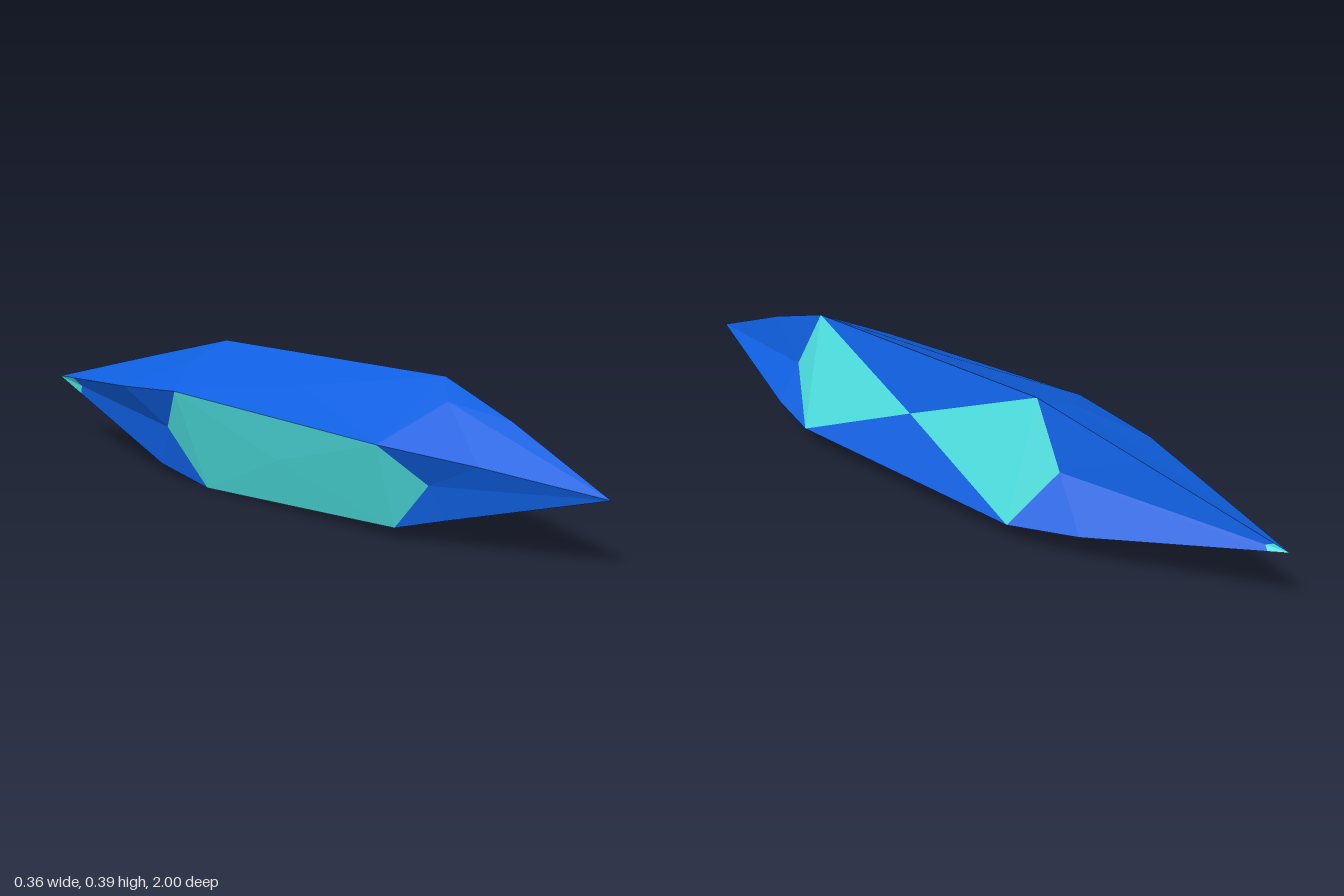
import * as THREE from 'three';

const V = (x, y, z) => new THREE.Vector3(x, y, z);
const mix = (a, b, t) => a.clone().lerp(b, t);
const CENTRE = V(0, 0.2, 0);

// Collects triangles, turning each one so that it faces outward
class Facets {
  constructor() { this.points = []; }
  add(a, b, c) {
    const normal = b.clone().sub(a).cross(c.clone().sub(a));
    const out = a.clone().add(b).add(c).divideScalar(3).sub(CENTRE);
    const order = normal.dot(out) < 0 ? [a, c, b] : [a, b, c];
    for (const p of order) this.points.push(p.x, p.y, p.z);
  }
  mesh(name, material) {
    const geo = new THREE.BufferGeometry();
    geo.setAttribute('position', new THREE.Float32BufferAttribute(this.points, 3));
    geo.computeVertexNormals();
    const mesh = new THREE.Mesh(geo, material);
    mesh.name = name;
    return mesh;
  }
}

export function createModel() {
  const blue = new THREE.MeshStandardMaterial({ color: 0x0f5fe0 });
  blue.name = 'crystal blue';
  const cyan = new THREE.MeshStandardMaterial({ color: 0x4de0e0 });
  cyan.name = 'pale cyan';

  const body = new Facets();
  const rightPanel = new Facets();
  const leftPanel = new Facets();
  const tipFacets = new Facets();

  // Each end: four corners (top, right, bottom, left), a point along each
  // ridge to the tip, and a fold point on each of the four sides
  const front = {
    tip: V(0, 0.19, 1),
    corners: [V(0.07, 0.395, 0.48), V(0.172, 0.078, 0.46), V(-0.1, 0.033, 0.46), V(-0.177, 0.26, 0.46)],
    ridges: [V(0.043, 0.318, 0.7), V(0.14, 0.105, 0.6), V(-0.073, 0.075, 0.6), V(-0.09, 0.23, 0.7)],
    folds: [V(0.077, 0.215, 0.58), V(0.04, 0.065, 0.5), V(-0.097, 0.16, 0.56), V(0, 0.35, 0.54)],
  };
  const back = {
    tip: V(0.008, 0.205, -1),
    corners: [V(0.07, 0.395, -0.3), V(0.182, 0.072, -0.3), V(-0.09, 0.002, -0.22), V(-0.182, 0.29, -0.25)],
    ridges: [V(0.045, 0.315, -0.6), V(0.142, 0.1, -0.5), V(-0.08, 0.035, -0.42), V(-0.15, 0.265, -0.5)],
    folds: [V(0.085, 0.22, -0.39), V(0.04, 0.055, -0.32), V(-0.11, 0.16, -0.36), V(-0.045, 0.34, -0.34)],
  };
  // Cyan lies on side 0 (an hourglass) and side 2 (a full panel)
  const panels = [rightPanel, body, leftPanel, body];

  // Pointed ends
  for (const end of [front, back]) {
    for (let i = 0; i < 4; i++) {
      const j = (i + 1) % 4;
      const fold = end.folds[i];
      panels[i].add(end.corners[i], fold, end.corners[j]);
      for (const k of [i, j]) {
        const ridge = end.ridges[k];
        body.add(end.corners[k], ridge, fold);
        if (end === back && i % 2 === 0) {
          // Small cyan facets at the back tip
          const size = i === 0 ? 0.1 : 0.22;
          const r = mix(end.tip, ridge, size);
          const f = mix(end.tip, fold, size);
          tipFacets.add(end.tip, r, f);
          body.add(r, ridge, fold);
          body.add(r, fold, f);
        } else {
          body.add(ridge, end.tip, fold);
        }
      }
    }
  }

  // Long middle sides, each a fan of four triangles around its centre point
  const middles = [V(0.112, 0.228, 0.1), V(0.04, 0.046, 0.1), V(-0.142, 0.15, 0.1), V(-0.055, 0.337, 0.1)];
  for (let i = 0; i < 4; i++) {
    const j = (i + 1) % 4;
    const m = middles[i];
    const edges = i === 2 ? leftPanel : body;
    panels[i].add(m, front.corners[i], front.corners[j]);
    panels[i].add(m, back.corners[i], back.corners[j]);
    edges.add(m, front.corners[i], back.corners[i]);
    edges.add(m, front.corners[j], back.corners[j]);
  }

  const group = new THREE.Group();
  group.name = 'crystal';
  group.add(
    body.mesh('crystalBody', blue),
    rightPanel.mesh('hourglassPanel', cyan),
    leftPanel.mesh('sidePanel', cyan),
    tipFacets.mesh('backTipFacets', cyan),
  );
  return group;
}
